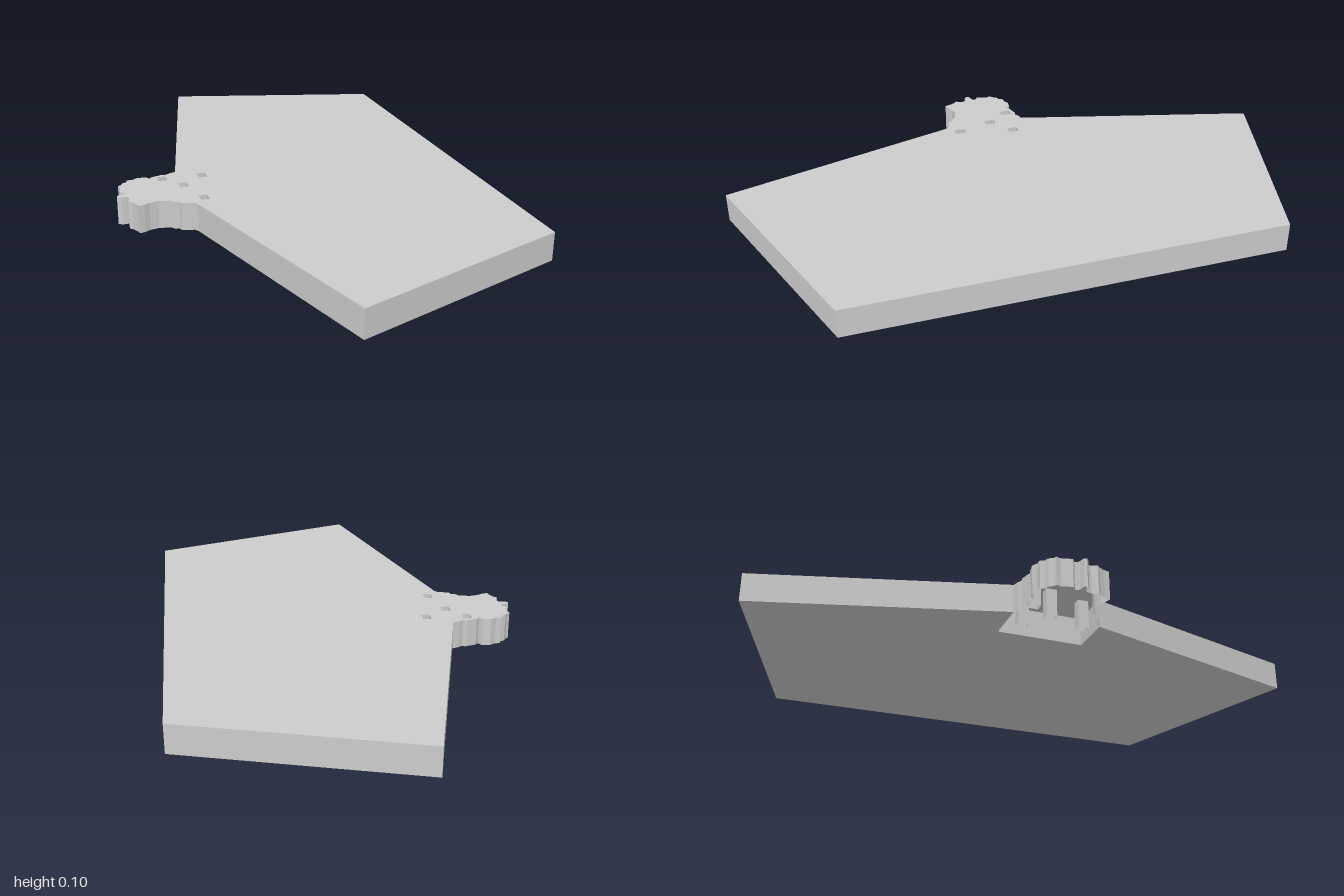
import * as THREE from 'three';

const HEIGHT = 0.1;

// Neck outline as [x, z], running from the back shoulder round the tip to the front shoulder
const RIM = [
  [-0.38, -0.155], [-0.40, -0.15], [-0.42, -0.14], [-0.43, -0.145], [-0.45, -0.14], [-0.47, -0.135],
  [-0.48, -0.125], [-0.49, -0.14], [-0.52, -0.145], [-0.54, -0.135], [-0.56, -0.135], [-0.565, -0.12],
  [-0.58, -0.115], [-0.59, -0.1], [-0.6, -0.095], [-0.595, -0.08], [-0.6, -0.06], [-0.605, -0.04],
  [-0.59, -0.03], [-0.59, -0.02], [-0.6, -0.015], [-0.62, -0.01], [-0.623, 0], [-0.61, 0.01],
  [-0.59, 0.01], [-0.585, 0.03], [-0.595, 0.05], [-0.585, 0.06], [-0.575, 0.08], [-0.57, 0.1],
  [-0.55, 0.095], [-0.53, 0.085], [-0.5, 0.08], [-0.48, 0.085], [-0.46, 0.09], [-0.45, 0.105],
  [-0.435, 0.11], [-0.43, 0.125], [-0.41, 0.13], [-0.39, 0.135], [-0.38, 0.15],
];
const HOLES = [[-0.44, -0.108], [-0.297, -0.094], [-0.382, -0.028], [-0.344, 0.102]];

// Plan points [x, z] become shape points [x, -z]; laying the shape flat restores z
const toShape = (pts) => pts.map(([x, z]) => new THREE.Vector2(x, -z));

const square = ([x, z], w = 0.015, d = 0.019) =>
  [[x - w, z - d], [x + w, z - d], [x + w, z + d], [x - w, z + d]];

// Upright wall that follows a plan path from the ground to the top
function wall(pts) {
  const pos = [];
  for (let i = 0; i + 1 < pts.length; i++) {
    const [ax, az] = pts[i];
    const [bx, bz] = pts[i + 1];
    pos.push(ax, 0, az, bx, 0, bz, bx, HEIGHT, bz);
    pos.push(ax, 0, az, bx, HEIGHT, bz, ax, HEIGHT, az);
  }
  const geo = new THREE.BufferGeometry();
  geo.setAttribute('position', new THREE.Float32BufferAttribute(pos, 3));
  geo.computeVertexNormals();
  return geo;
}

export function createModel() {
  const group = new THREE.Group();
  const solid = new THREE.MeshStandardMaterial({ color: 0xcccccc, flatShading: true });
  const thin = new THREE.MeshStandardMaterial({ color: 0xcccccc, flatShading: true, side: THREE.DoubleSide });
  const add = (name, geo, mat) => {
    const mesh = new THREE.Mesh(geo, mat);
    mesh.name = name;
    group.add(mesh);
  };

  // Five-sided plate with a rectangular notch at the neck
  const notch = [[-0.227, -0.155], [-0.227, 0.15]];
  const plate = new THREE.Shape(toShape([
    [0.623, -0.757], [-0.147, -1], RIM[0], ...notch, RIM[RIM.length - 1], [-0.14, 0.995], [0.623, 0.75],
  ]));
  const plateGeo = new THREE.ExtrudeGeometry(plate, { depth: HEIGHT, bevelEnabled: false });
  add('plate', plateGeo.rotateX(-Math.PI / 2), solid);

  // Neck: a top skin with square holes, open underneath
  const skin = new THREE.Shape(toShape([...RIM, notch[1], notch[0]]));
  skin.holes = HOLES.map((h) => new THREE.Path(toShape(square(h))));
  add('neckTop', new THREE.ShapeGeometry(skin).rotateX(-Math.PI / 2).translate(0, HEIGHT, 0), thin);
  add('neckRim', wall(RIM), thin);

  // Square hole sleeves
  HOLES.forEach((h) => {
    const pts = square(h);
    add('holeSleeve', wall([...pts, pts[0]]), thin);
  });

  return group;
}
